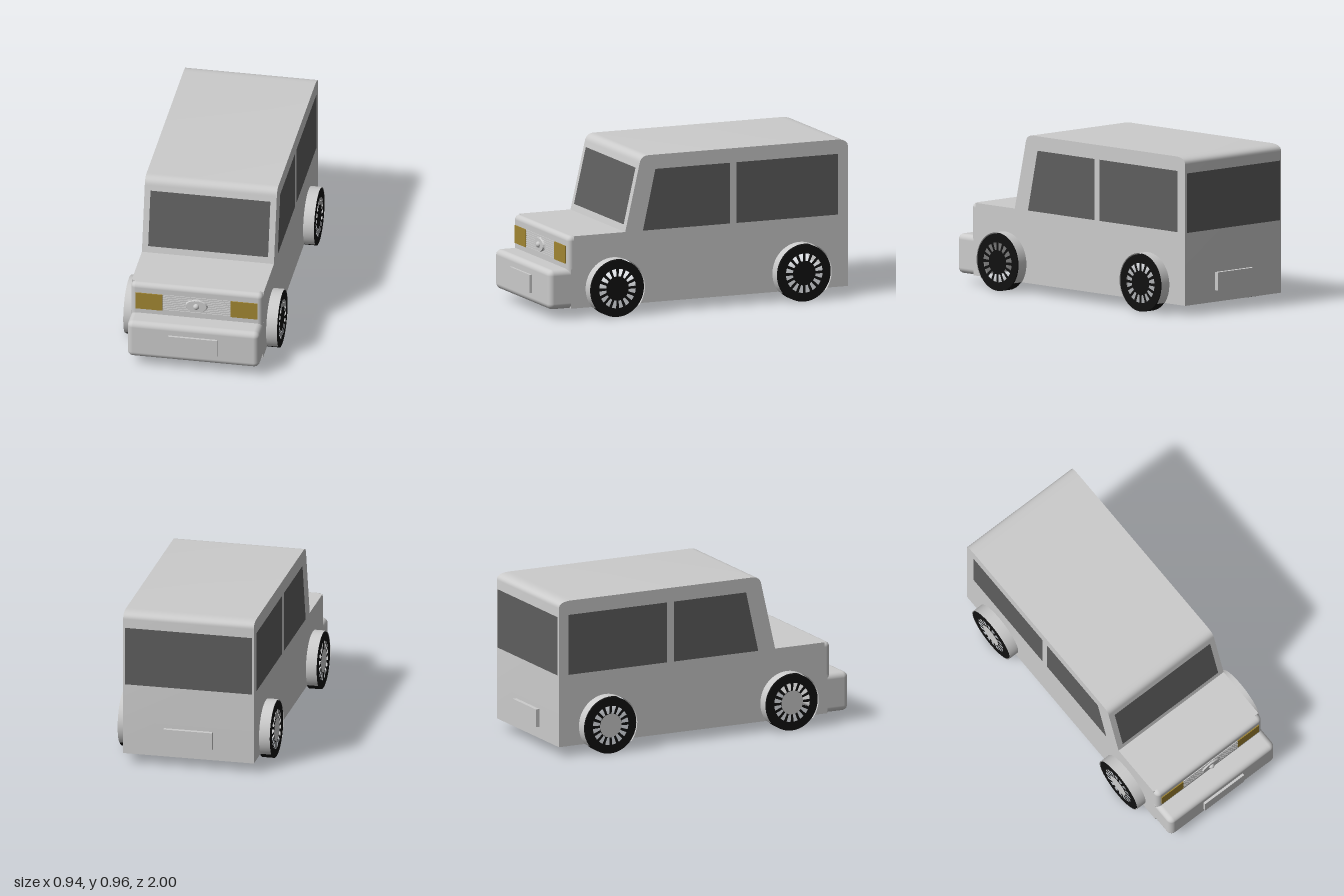
import * as THREE from 'three';
import { toCreasedNormals } from 'three/addons/utils/BufferGeometryUtils.js';
import { RoundedBoxGeometry } from 'three/addons/geometries/RoundedBoxGeometry.js';

const W = 0.402;               // half width of the body
const FLOOR = 0.06;
const AXLES = [0.565, -0.66];  // wheel centres along z
const WHEEL_Y = 0.173, TYRE_R = 0.173, ARCH_R = 0.18, WHEEL_X = 0.468;

const grey = new THREE.MeshStandardMaterial({ color: 0xcccccc });
const greyThin = new THREE.MeshStandardMaterial({ color: 0xcccccc, side: THREE.DoubleSide });
const glass = new THREE.MeshStandardMaterial({ color: 0x5e5e5e });
const amber = new THREE.MeshStandardMaterial({ color: 0xa28632 });
const black = new THREE.MeshStandardMaterial({ color: 0x111111 });

function add(parent, name, geometry, material, x = 0, y = 0, z = 0) {
  const mesh = new THREE.Mesh(geometry, material);
  mesh.name = name;
  mesh.position.set(x, y, z);
  parent.add(mesh);
  return mesh;
}

// Surface swept across x from x0 to x1 along a list of (z, y) points
function strip(points, x0, x1) {
  const v = [];
  for (let i = 0; i < points.length - 1; i++) {
    const a = points[i], b = points[i + 1];
    v.push(x1, a.y, a.x, x0, a.y, a.x, x0, b.y, b.x);
    v.push(x1, a.y, a.x, x0, b.y, b.x, x1, b.y, b.x);
  }
  const g = new THREE.BufferGeometry();
  g.setAttribute('position', new THREE.Float32BufferAttribute(v, 3));
  return toCreasedNormals(g, 0.5);
}

// Flat panel facing outwards on one side, from (z, y) points
function sidePanel(points, side, x) {
  const shape = new THREE.Shape(points.map(p => new THREE.Vector2(-side * p.x, p.y)));
  return new THREE.ShapeGeometry(shape).rotateY(side * Math.PI / 2).translate(side * x, 0, 0);
}

// Wheel arch as (z, y) points, from front to rear over the top
function archPoints(zc) {
  const low = Math.asin((WHEEL_Y - FLOOR) / ARCH_R);
  return Array.from({ length: 41 }, (_, i) => {
    const a = -low + (Math.PI + 2 * low) * i / 40;
    return new THREE.Vector2(zc + ARCH_R * Math.cos(a), WHEEL_Y + ARCH_R * Math.sin(a));
  });
}

function makeBody(car) {
  // Upper outline from the rear floor edge over the roof to the front floor edge
  const path = new THREE.Path();
  path.moveTo(-0.975, FLOOR);
  path.lineTo(-0.975, 0.915);
  path.quadraticCurveTo(-0.975, 0.957, -0.89, 0.957);
  path.lineTo(0.33, 0.957);
  path.quadraticCurveTo(0.383, 0.957, 0.391, 0.91);
  path.lineTo(0.485, 0.5);
  path.lineTo(0.82, 0.5);
  path.lineTo(0.82, 0.3);
  path.lineTo(0.84, 0.3);
  path.lineTo(0.84, FLOOR);
  const outline = path.getPoints(8);
  add(car, 'bodyShell', strip([...outline, outline[0]], -W, W), grey);

  const sideOutline = [...outline, ...AXLES.flatMap(archPoints)];
  for (const side of [1, -1]) add(car, 'bodySide', sidePanel(sideOutline, side, W), grey);

  // Rounded nose and bumper
  add(car, 'nose', new RoundedBoxGeometry(2 * W, 0.25, 0.16, 4, 0.03), grey, 0, 0.375, 0.78);
  add(car, 'bumper', new RoundedBoxGeometry(2 * W, 0.24, 0.2, 4, 0.035), grey, 0, 0.18, 0.885);
  add(car, 'frontPlate', new THREE.BoxGeometry(0.3, 0.11, 0.03), grey, 0, 0.18, 0.985);
  add(car, 'rearPlate', new THREE.BoxGeometry(0.3, 0.11, 0.035), grey, 0, 0.185, -0.9825);
}

function makeWindows(car) {
  const V = (z, y) => new THREE.Vector2(z, y);
  const frontWindow = [V(0.37, 0.5), V(0.288, 0.87), V(-0.2, 0.87), V(-0.2, 0.5)];
  const rearWindow = [V(-0.245, 0.5), V(-0.245, 0.87), V(-0.91, 0.87), V(-0.91, 0.5)];
  for (const side of [1, -1]) {
    add(car, 'frontSideWindow', sidePanel(frontWindow, side, W + 0.002), glass);
    add(car, 'rearSideWindow', sidePanel(rearWindow, side, W + 0.002), glass);
  }
  add(car, 'windscreen', strip([V(0.401, 0.88), V(0.479, 0.54)], -0.365, 0.365), glass);
  add(car, 'tailWindow', strip([V(-0.977, 0.5), V(-0.977, 0.86)], -0.39, 0.39), glass);
}

function makeGrille(car) {
  for (const side of [1, -1]) {
    add(car, 'headlight', new THREE.BoxGeometry(0.163, 0.108, 0.012), amber, side * 0.29, 0.385, 0.86);
  }
  for (let i = 0; i < 9; i++) {
    add(car, 'grilleSlat', new THREE.BoxGeometry(0.416, 0.008, 0.01), grey, 0, 0.3345 + i * 0.0126, 0.86);
  }
  // Plain oval boss with a small ball
  const oval = new THREE.CylinderGeometry(0.062, 0.07, 0.014, 40).rotateX(Math.PI / 2).scale(1, 0.62, 1);
  add(car, 'grilleOval', toCreasedNormals(oval, 0.6), grey, 0, 0.385, 0.867);
  add(car, 'grilleBall', new THREE.SphereGeometry(0.019, 20, 12), grey, 0, 0.385, 0.872);
}

// Wheel face with tapered openings between the spokes
function wheelFace() {
  const shape = new THREE.Shape().absarc(0, 0, TYRE_R, 0, Math.PI * 2);
  const count = 16;
  for (let i = 0; i < count; i++) {
    const a = (i + 0.5) * Math.PI * 2 / count;
    const hole = new THREE.Path();
    hole.absarc(0, 0, 0.12, a - 0.12, a + 0.12, false);
    hole.absarc(0, 0, 0.074, a + 0.1, a - 0.1, true);
    hole.closePath();
    shape.holes.push(hole);
  }
  return new THREE.ShapeGeometry(shape, 32);
}

function makeWheels(car) {
  const width = WHEEL_X - 0.396;
  const face = wheelFace();
  const tread = new THREE.CylinderGeometry(TYRE_R, TYRE_R, width, 64, 1, true).rotateX(Math.PI / 2);
  const inner = new THREE.RingGeometry(0.12, TYRE_R, 64).rotateY(Math.PI);
  for (const side of [1, -1]) {
    for (const z of AXLES) {
      const wheel = new THREE.Group();
      wheel.name = 'wheel';
      wheel.position.set(side * WHEEL_X, WHEEL_Y, z);
      wheel.rotation.y = side * Math.PI / 2;
      add(wheel, 'spokedFace', face, black);
      add(wheel, 'tread', tread, black, 0, 0, -width / 2);
      add(wheel, 'innerWall', inner, black, 0, 0, -width);
      if (side < 0) add(wheel, 'hub', new THREE.CircleGeometry(0.073, 40), grey, 0, 0, 0.002);
      car.add(wheel);

      // Thin arch cover over the tyre
      const x = [side * W, side * WHEEL_X].sort((a, b) => a - b);
      add(car, 'wheelArch', strip(archPoints(z).reverse(), x[0], x[1]), greyThin);
    }
  }
}

export function createModel() {
  const car = new THREE.Group();
  car.name = 'car';
  makeBody(car);
  makeWindows(car);
  makeGrille(car);
  makeWheels(car);
  return car;
}
